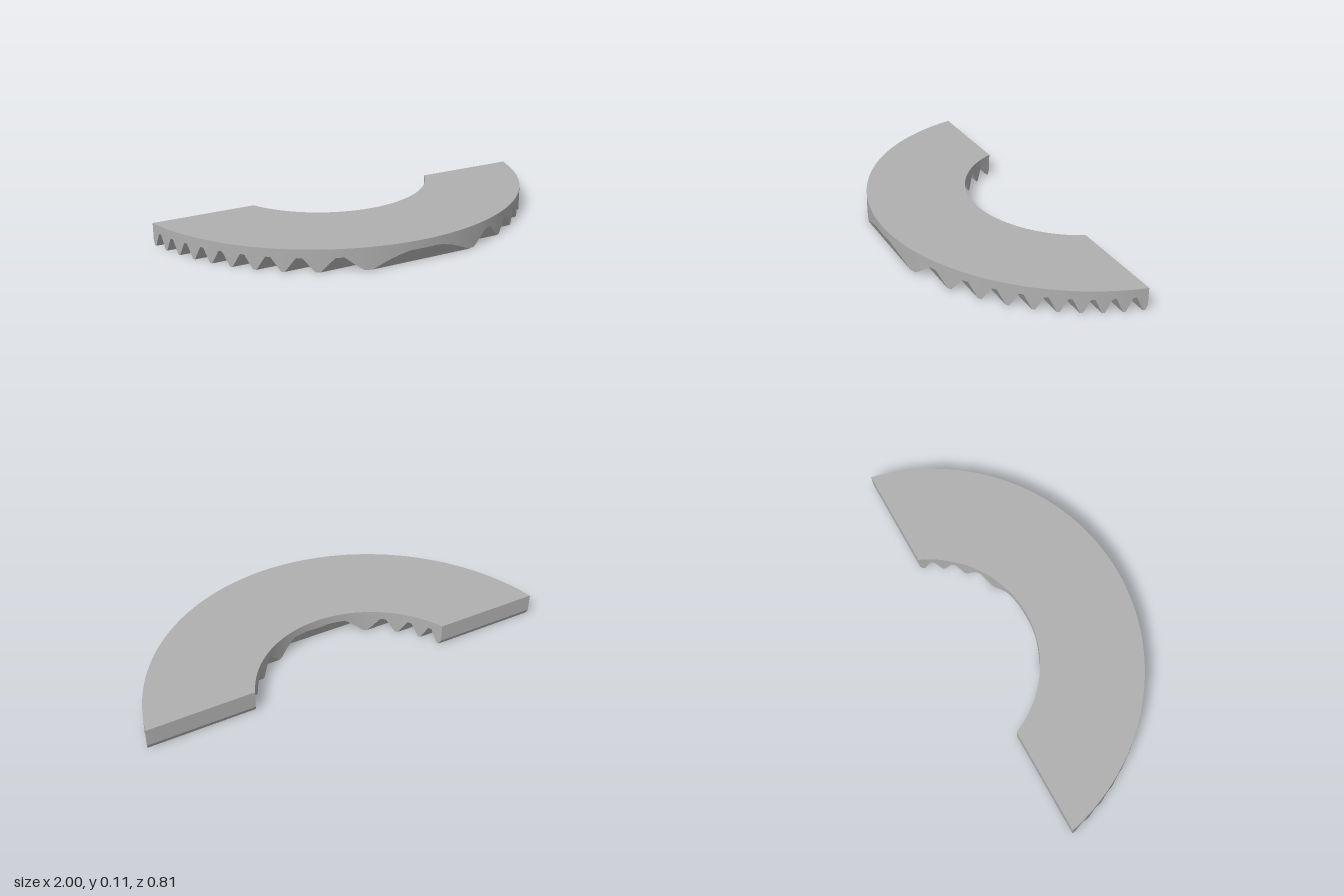
import * as THREE from 'three';

const R = 1.023, r = 0.534;          // outer and inner radius
const CZ = -0.619;                   // shared arc centre on z
const BACK = -0.404, FRONT = 0.404;
const TOP = 0.108, TOOTH = 0.067;    // slab top, tooth height
const PITCH = 0.084, TIP0 = 0.367, TIP = 0.005, SLOPE = 0.0295;

// Underside height: ridges running along x, flat at tips and valleys
function under(z) {
  const k = Math.round((z - TIP0) / PITCH);
  const d = Math.abs(z - TIP0 - k * PITCH);
  return TOOTH * THREE.MathUtils.clamp((d - TIP) / SLOPE, 0, 1);
}
const arcX = (rad, z) => Math.sqrt(Math.max(0, rad * rad - (z - CZ) ** 2));

// Slice positions: profile corners plus even steps around both arcs
function slices() {
  const zs = [BACK, FRONT, CZ + r];
  for (let k = -10; k <= 1; k++)
    for (const d of [TIP, TIP + SLOPE])
      zs.push(TIP0 + k * PITCH + d, TIP0 + k * PITCH - d);
  for (const rad of [R, r])
    for (let i = 0; i < 60; i++) zs.push(CZ + rad * Math.cos((i / 60) * Math.PI / 2));
  const sorted = zs.filter(z => z >= BACK && z <= FRONT + 1e-9).sort((a, b) => a - b);
  return sorted.filter((z, i) => i === 0 || z - sorted[i - 1] > 1e-6);
}

function segmentGeometry() {
  const pos = [], nor = [];
  // Quad with a normal per corner; winding is chosen to agree with the normals
  function quad(pts, normals) {
    const [a, b, c, d] = pts.map(p => new THREE.Vector3(...p));
    const face = c.clone().sub(a).cross(d.clone().sub(b));
    const flip = face.dot(new THREE.Vector3(...normals[0])) < 0;
    for (const i of flip ? [0, 2, 1, 0, 3, 2] : [0, 1, 2, 0, 2, 3]) {
      pos.push(...pts[i]);
      nor.push(...normals[i]);
    }
  }
  const flat = n => [n, n, n, n];
  const zs = slices();

  for (const s of [1, -1]) {
    for (let i = 0; i < zs.length - 1; i++) {
      const z0 = zs[i], z1 = zs[i + 1], h0 = under(z0), h1 = under(z1);
      const o0 = s * arcX(R, z0), o1 = s * arcX(R, z1);
      const i0 = s * arcX(r, z0), i1 = s * arcX(r, z1);
      // top and toothed underside
      quad([[i0, TOP, z0], [o0, TOP, z0], [o1, TOP, z1], [i1, TOP, z1]], flat([0, 1, 0]));
      const n = new THREE.Vector3(0, -(z1 - z0), h1 - h0).normalize().toArray();
      quad([[i0, h0, z0], [o0, h0, z0], [o1, h1, z1], [i1, h1, z1]], flat(n));
      // curved walls
      const wall = (x0, x1, rad, dir) => {
        const n0 = [dir * x0 / rad, 0, dir * (z0 - CZ) / rad];
        const n1 = [dir * x1 / rad, 0, dir * (z1 - CZ) / rad];
        quad([[x0, h0, z0], [x1, h1, z1], [x1, TOP, z1], [x0, TOP, z0]], [n0, n1, n1, n0]);
      };
      wall(o0, o1, R, 1);
      if (z0 < CZ + r - 1e-6) wall(i0, i1, r, -1);
    }
    // straight back end
    const a = s * arcX(r, BACK), b = s * arcX(R, BACK), h = under(BACK);
    quad([[a, h, BACK], [b, h, BACK], [b, TOP, BACK], [a, TOP, BACK]], flat([0, 0, -1]));
  }
  const g = new THREE.BufferGeometry();
  g.setAttribute('position', new THREE.Float32BufferAttribute(pos, 3));
  g.setAttribute('normal', new THREE.Float32BufferAttribute(nor, 3));
  return g;
}

export function createModel() {
  const group = new THREE.Group();
  group.name = 'toothedRingSegment';
  const grey = new THREE.MeshStandardMaterial({ color: 0xb0b0b0 });
  grey.name = 'grey';
  const segment = new THREE.Mesh(segmentGeometry(), grey);
  segment.name = 'serratedSegment';
  group.add(segment);
  return group;
}
